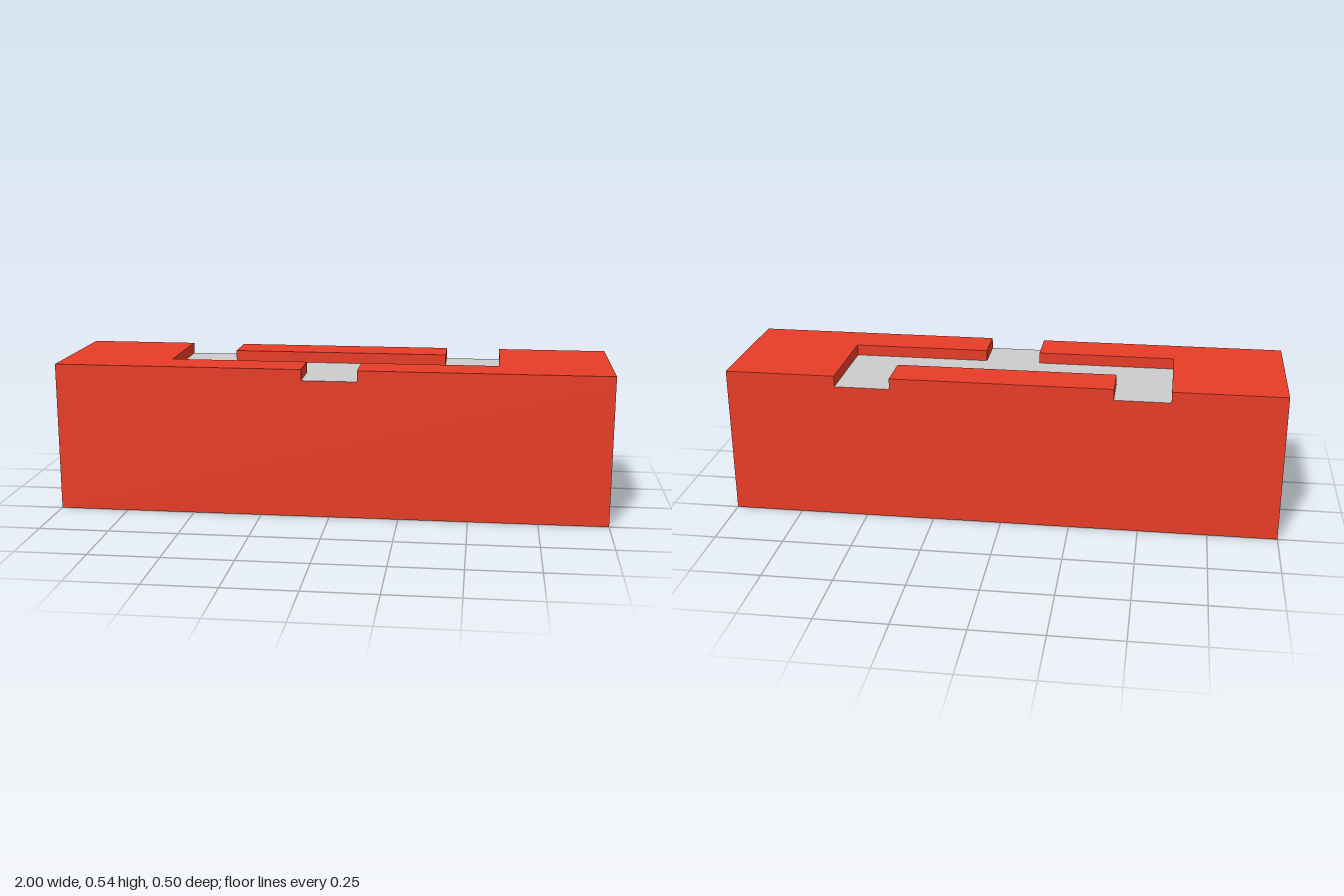
import * as THREE from 'three';

const H = 0.543, FLOOR = 0.503;

export function createModel() {
  const model = new THREE.Group();
  const red = new THREE.MeshStandardMaterial({ color: 0xe83c26 });
  const grey = new THREE.MeshStandardMaterial({ color: 0xcccccc });

  // Solid base block; its top face is the grey channel floor
  const base = new THREE.Mesh(
    new THREE.BoxGeometry(2, FLOOR, 0.5),
    [red, red, grey, red, red, red]
  );
  base.name = 'baseBlock';
  base.position.y = FLOOR / 2;
  model.add(base);

  // Raised top plate from an outline of [x, z] points
  function plate(name, points) {
    const shape = new THREE.Shape(points.map(([x, z]) => new THREE.Vector2(x, -z)));
    const geo = new THREE.ExtrudeGeometry(shape, { depth: H - FLOOR, bevelEnabled: false });
    geo.rotateX(-Math.PI / 2);
    const mesh = new THREE.Mesh(geo, red);
    mesh.name = name;
    mesh.position.y = FLOOR;
    model.add(mesh);
  }

  // L-shaped plates mirrored either side of the front notch
  for (const [side, s] of [['left', 1], ['right', -1]]) {
    plate(side + 'Plate', [
      [0.1 * s, 0.25], [s, 0.25], [s, -0.25],
      [0.6 * s, -0.25], [0.6 * s, 0.1], [0.1 * s, 0.1],
    ]);
  }

  // Island between the two rear channel exits
  plate('rearIsland', [[-0.4, -0.1], [0.4, -0.1], [0.4, -0.25], [-0.4, -0.25]]);

  return model;
}
